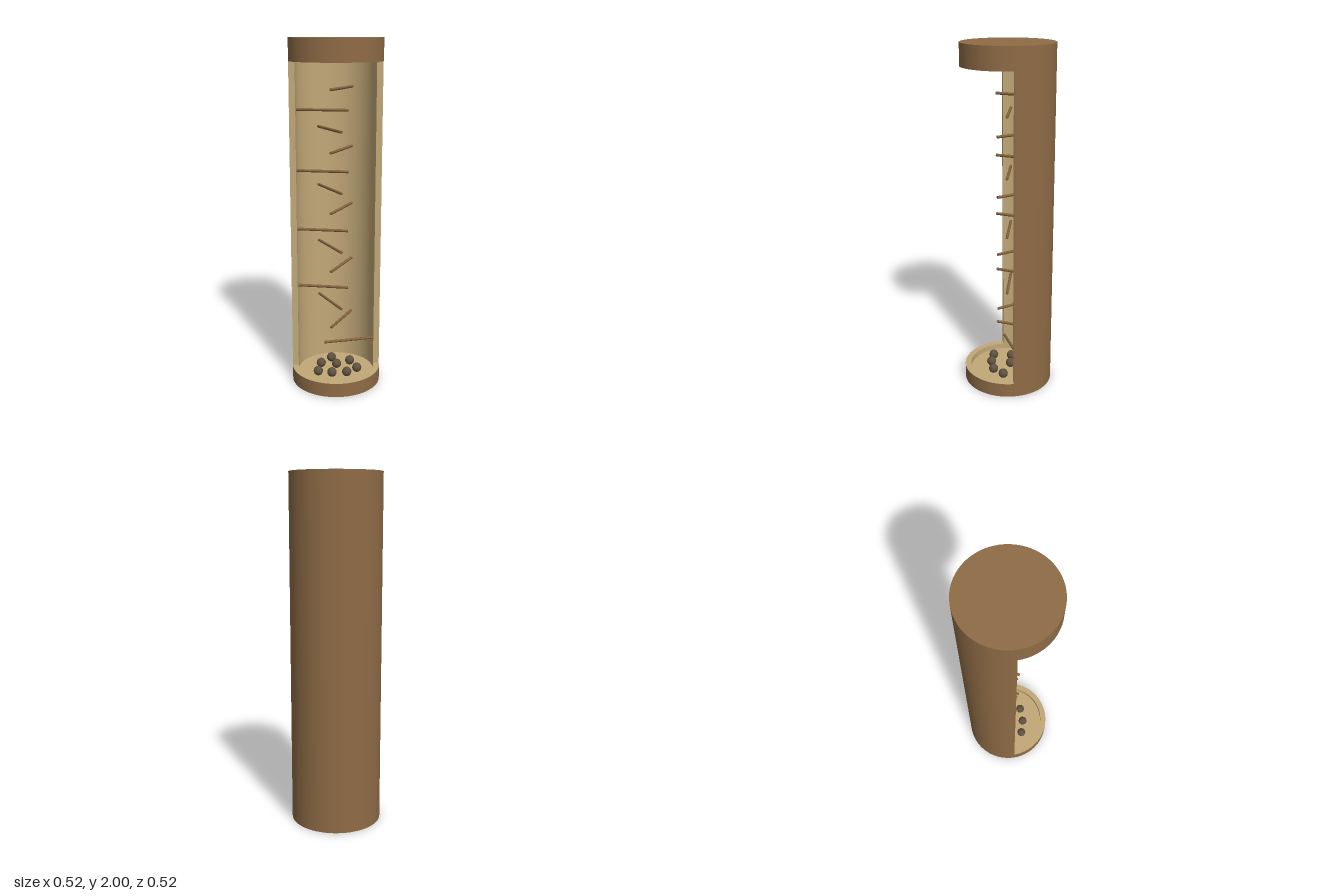
import * as THREE from 'three';
import { mergeGeometries } from 'three/addons/utils/BufferGeometryUtils.js';

const R = 0.26, INNER = 0.225;          // outer and inner tube radius
const LOW = 0.083, HIGH = 1.875;        // window cut between these heights
const FLOOR = 0.05, CEILING = 1.95;

// One hard-edged lathe per pair of profile points; rising points face outward
function turned(profile, start = 0, sweep = Math.PI * 2) {
  const bands = [];
  for (let i = 0; i < profile.length - 1; i++) {
    const pair = [profile[i], profile[i + 1]].map(([r, y]) => new THREE.Vector2(r, y));
    bands.push(new THREE.LatheGeometry(pair, sweep > 4 ? 64 : 32, start, sweep));
  }
  return mergeGeometries(bands);
}

export function createModel() {
  const model = new THREE.Group();
  const flat = (name, color) => {
    const m = new THREE.MeshStandardMaterial({ color });
    m.name = name;
    return m;
  };
  const bark = flat('brown bark', 0x8f6c46);
  const wood = flat('pale inner wood', 0xc2a878);
  const pegWood = flat('peg brown', 0x85623c);
  const pebble = flat('dark pebble', 0x5e5240);

  const add = (name, geometry, material, parent = model) => {
    const mesh = new THREE.Mesh(geometry, material);
    mesh.name = name;
    parent.add(mesh);
    return mesh;
  };

  // Solid ends, full round
  add('bottomCap', turned([[0, 0], [R, 0], [R, LOW]]), bark);
  add('topCap', turned([[R, HIGH], [R, 2], [0, 2]]), bark);
  add('bottomCupLining', turned([[INNER, LOW], [INNER, FLOOR], [0, FLOOR]]), wood);
  add('topCupLining', turned([[0, CEILING], [INNER, CEILING], [INNER, HIGH]]), wood);

  // Exposed rims on the open front half
  add('bottomRim', turned([[R, LOW], [INNER, LOW]], -Math.PI / 2, Math.PI), wood);
  add('topRim', turned([[INNER, HIGH], [R, HIGH]], -Math.PI / 2, Math.PI), wood);

  // Back half of the tube
  add('tubeOutside', turned([[R, LOW], [R, HIGH]], Math.PI / 2, Math.PI), bark);
  add('tubeInside', turned([[INNER, HIGH], [INNER, LOW]], Math.PI / 2, Math.PI), wood);
  for (const side of [-1, 1]) {
    const edge = add('tubeCutEdge', new THREE.PlaneGeometry(R - INNER, HIGH - LOW), wood);
    edge.position.set(side * (R + INNER) / 2, (LOW + HIGH) / 2, 0);
  }

  // Pegs reaching inward from the wall past the centre, climbing in turns
  const pegs = new THREE.Group();
  pegs.name = 'pegs';
  model.add(pegs);
  const pegGeometry = new THREE.CylinderGeometry(0.008, 0.008, 0.305, 10);
  pegGeometry.rotateZ(Math.PI / 2);
  pegGeometry.translate(0.0825, 0, 0);   // spans -0.07 to 0.235
  const turns = [62, 114, 168];
  for (let i = 0; i < 14; i++) {
    const angle = i === 0 ? 10 : turns[(i - 1) % 3];
    const peg = add('peg', pegGeometry, pegWood, pegs);
    peg.position.y = 0.23 + i * 0.115;
    peg.rotation.y = THREE.MathUtils.degToRad(angle);
  }

  // Loose pebbles on the floor
  const pebbles = new THREE.Group();
  pebbles.name = 'pebbles';
  model.add(pebbles);
  const pebbleGeometry = new THREE.SphereGeometry(0.028, 12, 8);
  const spots = [[-0.11, 0.075], [-0.03, 0.098], [-0.088, -0.032], [0.058, 0.096],
    [0.004, -0.014], [-0.022, -0.105], [0.122, 0.045], [0.087, -0.056]];
  for (const [x, z] of spots) {
    add('pebble', pebbleGeometry, pebble, pebbles).position.set(x, FLOOR + 0.027, z);
  }

  return model;
}
